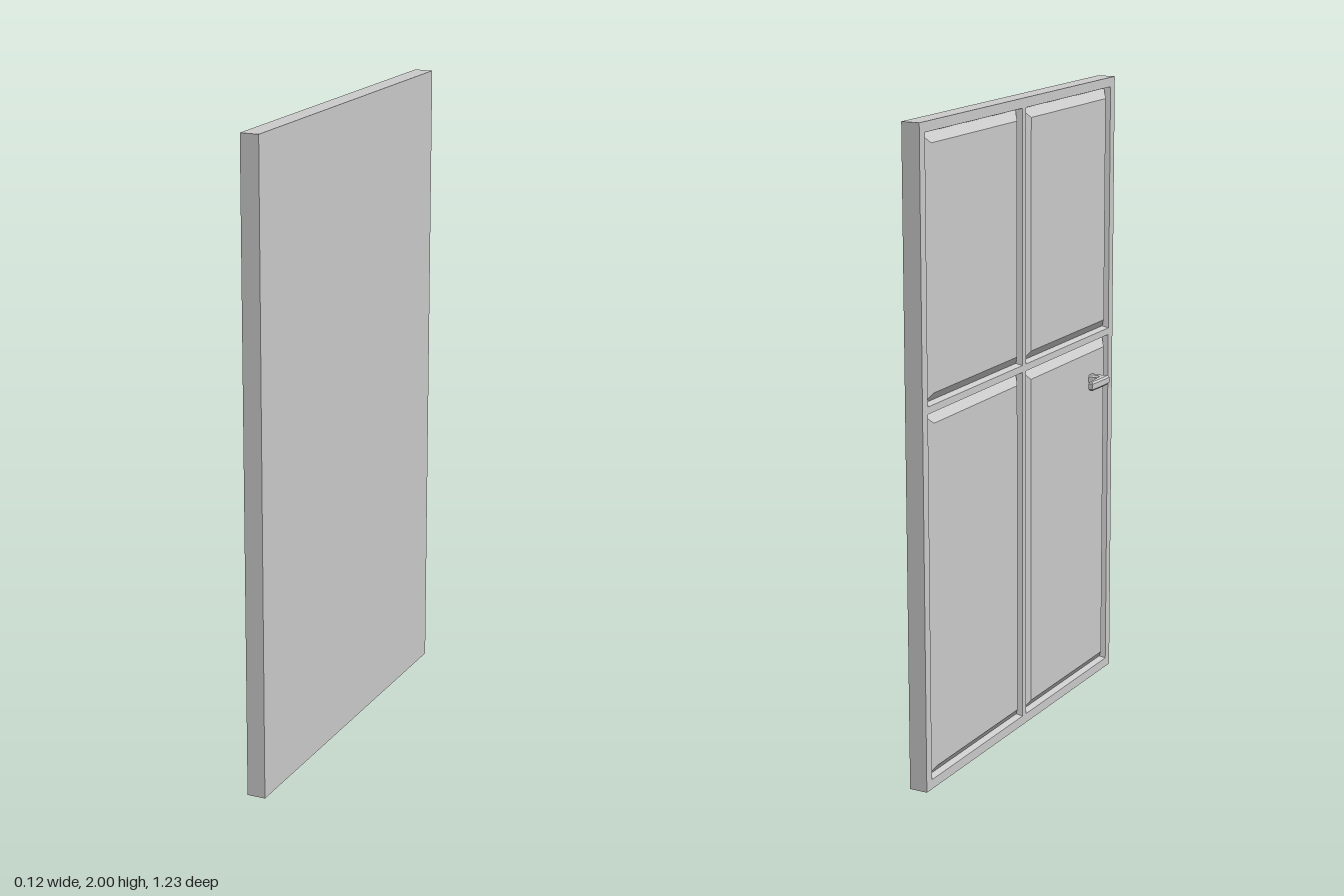
import * as THREE from 'three';

const W = 1.226, H = 2, T = 0.058;      // door width, height, thickness
const BORDER = 0.03, MID_Y = 1.17, HALF_BAR = 0.011;

const material = new THREE.MeshStandardMaterial({ color: 0xcccccc, flatShading: true });

function mesh(name, geometry) {
  const m = new THREE.Mesh(geometry, material);
  m.name = name;
  return m;
}

// Corners of a panel opening after moving in by an inset, at depth z
function corners([u0, v0, u1, v1], inset, z) {
  const a = u0 + inset, b = v0 + inset, c = u1 - inset, d = v1 - inset;
  return [[a, b, z], [c, b, z], [c, d, z], [a, d, z]];
}

// Raised panel: groove wall going in, bevel coming out, flat field
function panelGeometry(rect) {
  const rings = [
    corners(rect, 0, 0),
    corners(rect, 0.006, -0.02),
    corners(rect, 0.034, 0),
  ];
  const pos = [];
  const quad = (a, b, c, d) => pos.push(...a, ...b, ...c, ...a, ...c, ...d);
  for (let r = 0; r < 2; r++) {
    for (let i = 0; i < 4; i++) {
      const j = (i + 1) % 4;
      quad(rings[r][i], rings[r][j], rings[r + 1][j], rings[r + 1][i]);
    }
  }
  quad(...rings[2]);
  const g = new THREE.BufferGeometry();
  g.setAttribute('position', new THREE.Float32BufferAttribute(pos, 3));
  g.computeVertexNormals();
  return g;
}

export function createModel() {
  const model = new THREE.Group();
  model.name = 'door';

  // Built with the panelled face towards +z, then turned towards -x
  const door = new THREE.Group();
  door.name = 'doorLeaf';
  door.rotation.y = -Math.PI / 2;
  model.add(door);

  // Slab: a box whose panelled face is left open for the frame
  const slab = new THREE.BoxGeometry(W, H, T);
  const index = Array.from(slab.index.array);
  index.splice(24, 6);
  slab.setIndex(index);
  slab.translate(0, H / 2, -T / 2);
  door.add(mesh('slab', slab));

  // Four panel openings: two columns, two rows
  const rects = [];
  for (const [u0, u1] of [[-W / 2 + BORDER, -HALF_BAR], [HALF_BAR, W / 2 - BORDER]]) {
    for (const [v0, v1] of [[BORDER, MID_Y - HALF_BAR], [MID_Y + HALF_BAR, H - BORDER]]) {
      rects.push([u0, v0, u1, v1]);
    }
  }

  // Frame face with the openings cut out
  const toPoints = (rect) => corners(rect, 0, 0).map(([u, v]) => new THREE.Vector2(u, v));
  const frame = new THREE.Shape(toPoints([-W / 2, 0, W / 2, H]));
  rects.forEach((rect) => frame.holes.push(new THREE.Path(toPoints(rect))));
  door.add(mesh('frame', new THREE.ShapeGeometry(frame)));

  rects.forEach((rect) => door.add(mesh('panel', panelGeometry(rect))));

  // Lever handle: an L outline seen from above, with chamfered edges
  const bevel = 0.005;
  const outline = [
    [0.469, -0.006], [0.465, 0.02], [0.468, 0.055], [0.44, 0.055], [0.365, 0.051],
    [0.365, 0.045], [0.447, 0.038], [0.451, 0.02], [0.446, -0.006],
  ].map(([u, w]) => new THREE.Vector2(u, w));
  const lever = new THREE.ExtrudeGeometry(new THREE.Shape(outline), {
    depth: 0.018, bevelEnabled: true, bevelThickness: 0.006, bevelSize: bevel, bevelSegments: 1,
  });
  lever.rotateX(Math.PI / 2).translate(0, 1.046, 0);
  door.add(mesh('handle', lever));

  return model;
}
